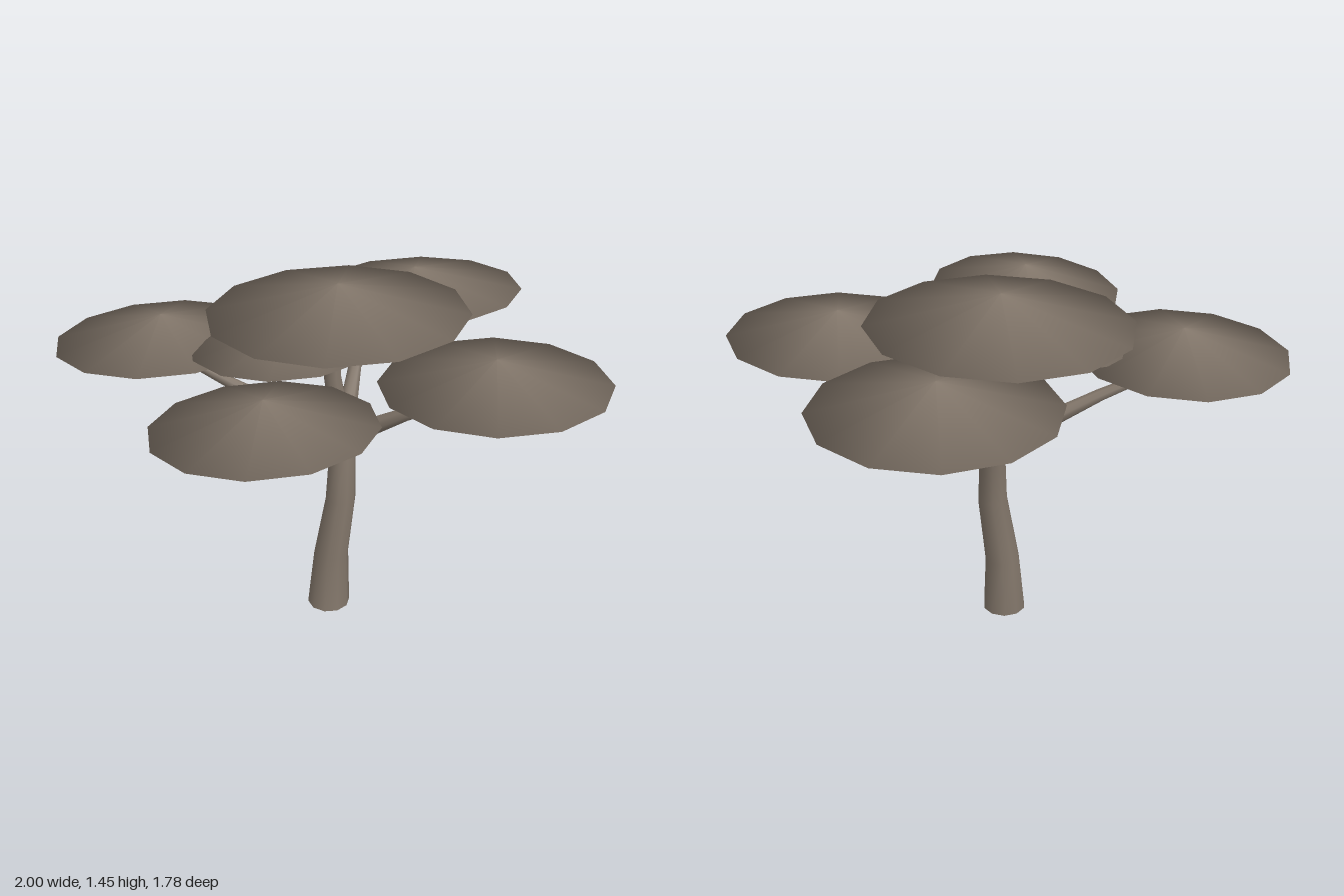
import * as THREE from 'three';

const bark = new THREE.MeshStandardMaterial({ color: 0x82766a });
bark.name = 'greyBrown';

// Smooth tapering limb through rings of [x, y, z, radius], with flat end caps
function limb(name, rings, sides, level = false) {
  const pos = [], idx = [];
  const pts = rings.map(r => new THREE.Vector3(r[0], r[1], r[2]));
  const up = new THREE.Vector3(0, 1, 0);
  const addRing = i => {
    const dir = pts[Math.min(i + 1, pts.length - 1)].clone().sub(pts[Math.max(i - 1, 0)]).normalize();
    const q = new THREE.Quaternion();
    if (!level) q.setFromUnitVectors(up, dir);
    for (let s = 0; s < sides; s++) {
      const a = (s / sides) * Math.PI * 2;
      const v = new THREE.Vector3(Math.sin(a), 0, Math.cos(a)).multiplyScalar(rings[i][3]);
      pos.push(...v.applyQuaternion(q).add(pts[i]).toArray());
    }
  };
  rings.forEach((r, i) => addRing(i));
  for (let i = 0; i < rings.length - 1; i++) {
    for (let s = 0; s < sides; s++) {
      const a = i * sides + s, b = i * sides + (s + 1) % sides;
      idx.push(a, b, b + sides, a, b + sides, a + sides);
    }
  }
  // caps have their own vertices so the end edges stay sharp
  [0, rings.length - 1].forEach(i => {
    const start = pos.length / 3;
    addRing(i);
    for (let s = 1; s < sides - 1; s++) {
      if (i === 0) idx.push(start, start + s + 1, start + s);
      else idx.push(start, start + s, start + s + 1);
    }
  });
  const geo = new THREE.BufferGeometry();
  geo.setAttribute('position', new THREE.Float32BufferAttribute(pos, 3));
  geo.setIndex(idx);
  geo.computeVertexNormals();
  const mesh = new THREE.Mesh(geo, bark);
  mesh.name = name;
  return mesh;
}

// Twelve-sided shallow lens of foliage; tilt raises its front edge
function canopy(name, x, y, z, rx, rz, height, tilt) {
  const profile = [[0, -0.038], [rz, 0], [0, height]].map(p => new THREE.Vector2(...p));
  const geo = new THREE.LatheGeometry(profile, 12);
  geo.applyMatrix4(new THREE.Matrix4().set(
    rx / rz, 0, 0, x,
    0, 1, tilt, y,
    0, 0, 1, z,
    0, 0, 0, 1));
  const mesh = new THREE.Mesh(geo, bark);
  mesh.name = name;
  return mesh;
}

export function createModel() {
  const tree = new THREE.Group();
  tree.name = 'flatToppedTree';

  // Gently bent trunk
  tree.add(limb('trunk', [
    [-0.042, 0, -0.048, 0.09],
    [-0.025, 0.25, -0.056, 0.073],
    [0.008, 0.53, -0.032, 0.062],
    [0.037, 0.8, -0.07, 0.052],
  ], 10, true));

  // Branches: middle and end rings, all starting at the fork
  const branches = {
    backRightBranch: [[-0.33, 1.0, -0.29, 0.025], [-0.6, 1.16, -0.5, 0.012]],
    frontRightBranch: [[-0.25, 1.02, 0.2, 0.027], [-0.5, 1.19, 0.42, 0.012]],
    backLeftBranch: [[0.18, 1.0, -0.26, 0.028], [0.5, 1.19, -0.42, 0.012]],
    frontLeftBranch: [[0.18, 1.0, 0.2, 0.028], [0.44, 1.17, 0.45, 0.012]],
    centreBranch: [[-0.008, 1.08, -0.075, 0.036], [0.008, 1.22, -0.09, 0.028]],
  };
  for (const [name, [mid, end]] of Object.entries(branches)) {
    tree.add(limb(name, [[0.037, 0.79, -0.07, 0.046], mid, end], 8));
  }

  // Foliage pads: x, rim height, z, x radius, z radius, height, tilt
  const pads = {
    topCanopy: [0.037, 1.327, -0.12, 0.523, 0.523, 0.12, 0.043],
    middleCanopy: [-0.19, 1.235, -0.13, 0.37, 0.35, 0.08, 0.05],
    backRightCanopy: [-0.57, 1.185, -0.483, 0.43, 0.413, 0.1, 0.07],
    backLeftCanopy: [0.53, 1.215, -0.415, 0.465, 0.43, 0.105, 0.07],
    frontRightCanopy: [-0.49, 1.212, 0.41, 0.41, 0.41, 0.108, 0.095],
    frontLeftCanopy: [0.42, 1.197, 0.445, 0.44, 0.44, 0.1, 0.055],
  };
  for (const [name, p] of Object.entries(pads)) tree.add(canopy(name, ...p));

  return tree;
}
